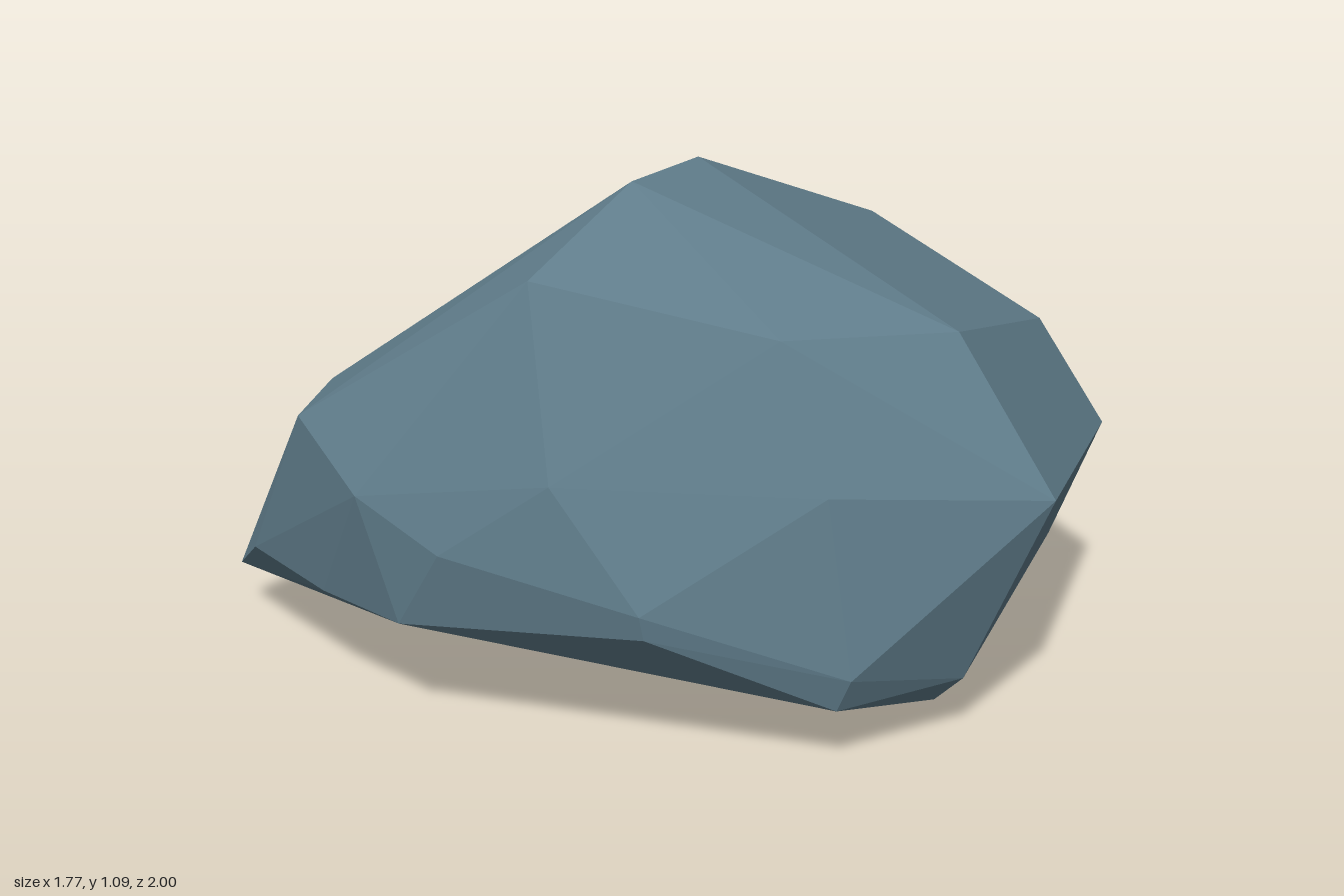
import * as THREE from 'three';
import { ConvexGeometry } from 'three/addons/geometries/ConvexGeometry.js';

// Corners shared by both lobes; they meet in a shallow valley on the low side
const seam = [
  [-0.02, 0.863, -0.36], [-0.57, 0.47, -0.14], [-0.8, 0.145, 0.2],
  [0.36, 0.665, -0.52], [0.5, 0.445, -0.585],
  [0.45, 0.19, -0.48], [0.41, 0.13, -0.49],
  [-0.4, 0.015, 0.575], [0.1, 0, 0.38],
];

// Tall front lobe
const crown = [
  [0.11, 1.09, 0.24], [0.21, 1.09, 0.48], [0.2, 0.93, 0.72],
  [0.67, 0.81, 0.04], [0.55, 0.83, 0.39],
];
const frontCorners = [
  [-0.51, 0.575, 0.56], [-0.4, 0.61, 0.825], [-0.24, 0.605, 0.99], [-0.015, 0.5, 0.995],
  [0.16, 0.41, 0.92], [0.34, 0.57, 0.78], [0.51, 0.34, 0.7], [0.51, 0.29, 0.69],
  [-0.47, 0.25, 0.995], [-0.2, 0.235, 0.98], [0.05, 0.24, 0.95],
  [-0.725, 0.11, 0.91], [-0.8, 0.08, 0.73],
];
const sideCorners = [
  [0.885, 0.51, -0.02], [0.69, 0.555, 0.39], [0.75, 0.2, 0.38],
  [0.72, 0.13, 0.39], [0.77, 0.13, 0.1], [0.7, 0.06, 0.11],
];

// Low back lobe
const backCorners = [
  [-0.56, 0.58, -0.87], [-0.86, 0.377, -0.81], [-0.79, 0.26, -0.97], [-0.69, 0.25, -1],
  [-0.54, 0.47, -0.93], [-0.53, 0.355, -0.97], [-0.4, 0.2, -0.95],
  [-0.885, 0.205, -0.545], [-0.38, 0.165, -0.82],
];

export function createModel() {
  const group = new THREE.Group();
  group.name = 'rock';
  const stone = new THREE.MeshStandardMaterial({ color: 0x607d8b, flatShading: true });

  // Each lobe is a faceted convex skin around its corners
  const addLobe = (name, ...zones) => {
    const points = zones.flat().map((p) => new THREE.Vector3(...p));
    const lobe = new THREE.Mesh(new ConvexGeometry(points), stone);
    lobe.name = name;
    group.add(lobe);
  };

  addLobe('frontLobe', seam, crown, frontCorners, sideCorners);
  addLobe('backLobe', seam, backCorners);
  return group;
}
